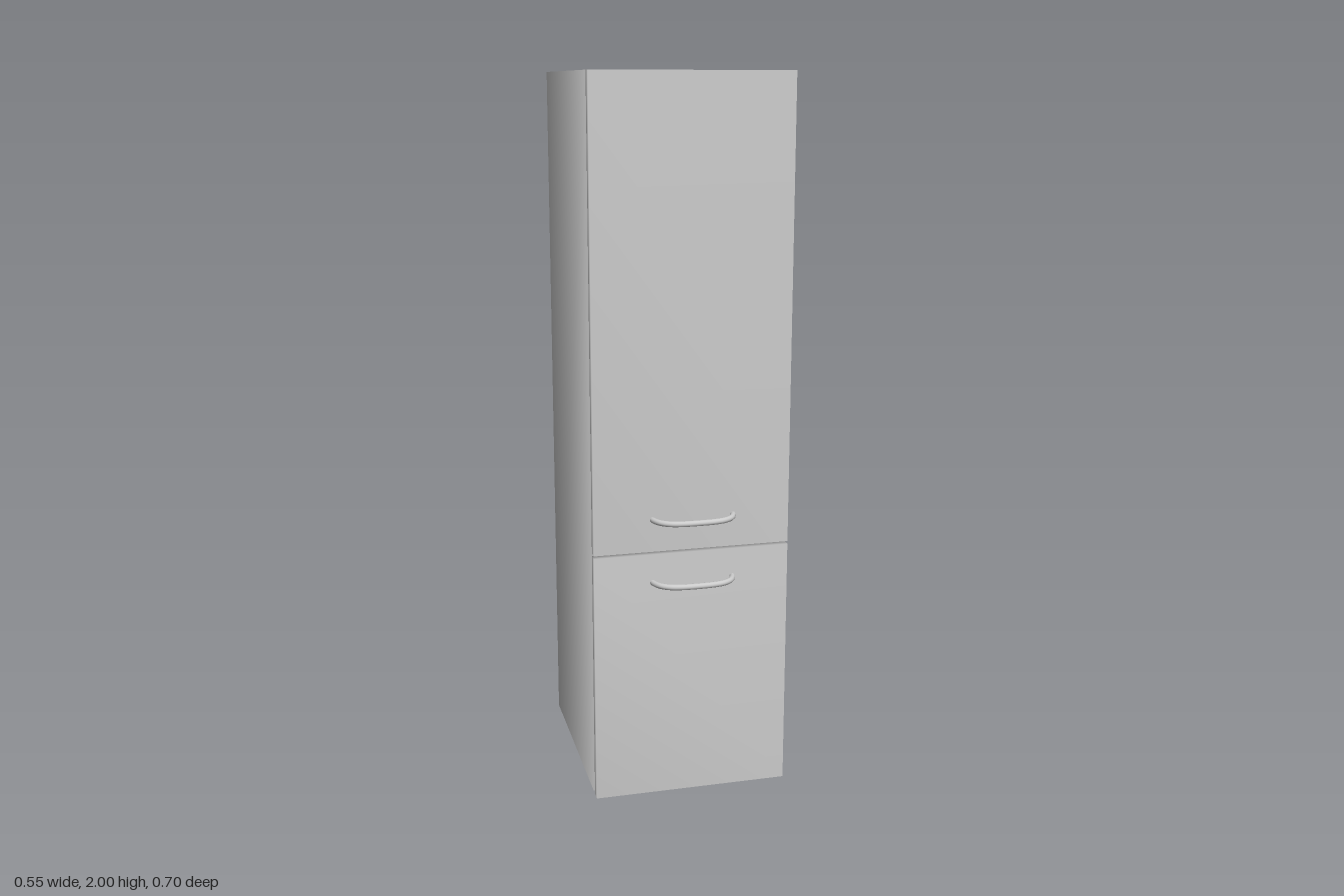
import * as THREE from 'three';
import { mergeVertices } from 'three/addons/utils/BufferGeometryUtils.js';

const material = new THREE.MeshStandardMaterial({ color: 0xcccccc });

// Weld corners so the shading runs smoothly around them
function weld(geometry) {
  geometry.deleteAttribute('normal');
  geometry.deleteAttribute('uv');
  const welded = mergeVertices(geometry, 1e-4);
  welded.computeVertexNormals();
  return welded;
}

function addMesh(parent, name, geometry) {
  const mesh = new THREE.Mesh(geometry, material);
  mesh.name = name;
  parent.add(mesh);
  return mesh;
}

// Box given by its x half width and its y and z ranges
function slab(halfWidth, y0, y1, z0, z1) {
  return new THREE.BoxGeometry(halfWidth * 2, y1 - y0, z1 - z0)
    .translate(0, (y0 + y1) / 2, (z0 + z1) / 2);
}

// Door panel: plan outline with a slightly sloped back rim, extruded upwards
function doorPanel(y0, y1) {
  const outline = [
    [-0.276, 0.285], [0.276, 0.285], [0.276, 0.257],
    [0.25, 0.253], [-0.25, 0.253], [-0.276, 0.257],
  ];
  const shape = new THREE.Shape(outline.map(([x, z]) => new THREE.Vector2(x, -z)));
  return new THREE.ExtrudeGeometry(shape, { depth: y1 - y0, bevelEnabled: false })
    .rotateX(-Math.PI / 2).translate(0, y0, 0);
}

// Bowed bar handle whose ends sink into the door
function bowHandle(y) {
  const half = [[0.115, 0.278], [0.111, 0.295], [0.098, 0.318], [0.075, 0.334], [0.045, 0.341]];
  const path = [
    ...half.map(([x, z]) => [-x, z]),
    [0, 0.343],
    ...half.slice().reverse(),
  ].map(([x, z]) => new THREE.Vector3(x + 0.002, y, z));
  return new THREE.TubeGeometry(new THREE.CatmullRomCurve3(path), 48, 0.008, 12);
}

export function createModel() {
  const fridge = new THREE.Group();
  fridge.name = 'fridgeFreezer';

  addMesh(fridge, 'cabinet', weld(slab(0.276, 0, 2, -0.352, 0.238)));

  // Doors, each with its inset seal and handle
  const doors = [
    { name: 'freezerDoor', y0: 0, y1: 0.713, seal: [0.01, 0.716], handle: 0.632 },
    { name: 'fridgeDoor', y0: 0.721, y1: 2, seal: [0.716, 1.99], handle: 0.812 },
  ];
  for (const { name, y0, y1, seal, handle } of doors) {
    const door = new THREE.Group();
    door.name = name;
    addMesh(door, 'panel', weld(doorPanel(y0, y1)));
    addMesh(door, 'seal', slab(0.249, seal[0], seal[1], 0.236, 0.255));
    addMesh(door, 'handle', bowHandle(handle));
    fridge.add(door);
  }
  return fridge;
}
